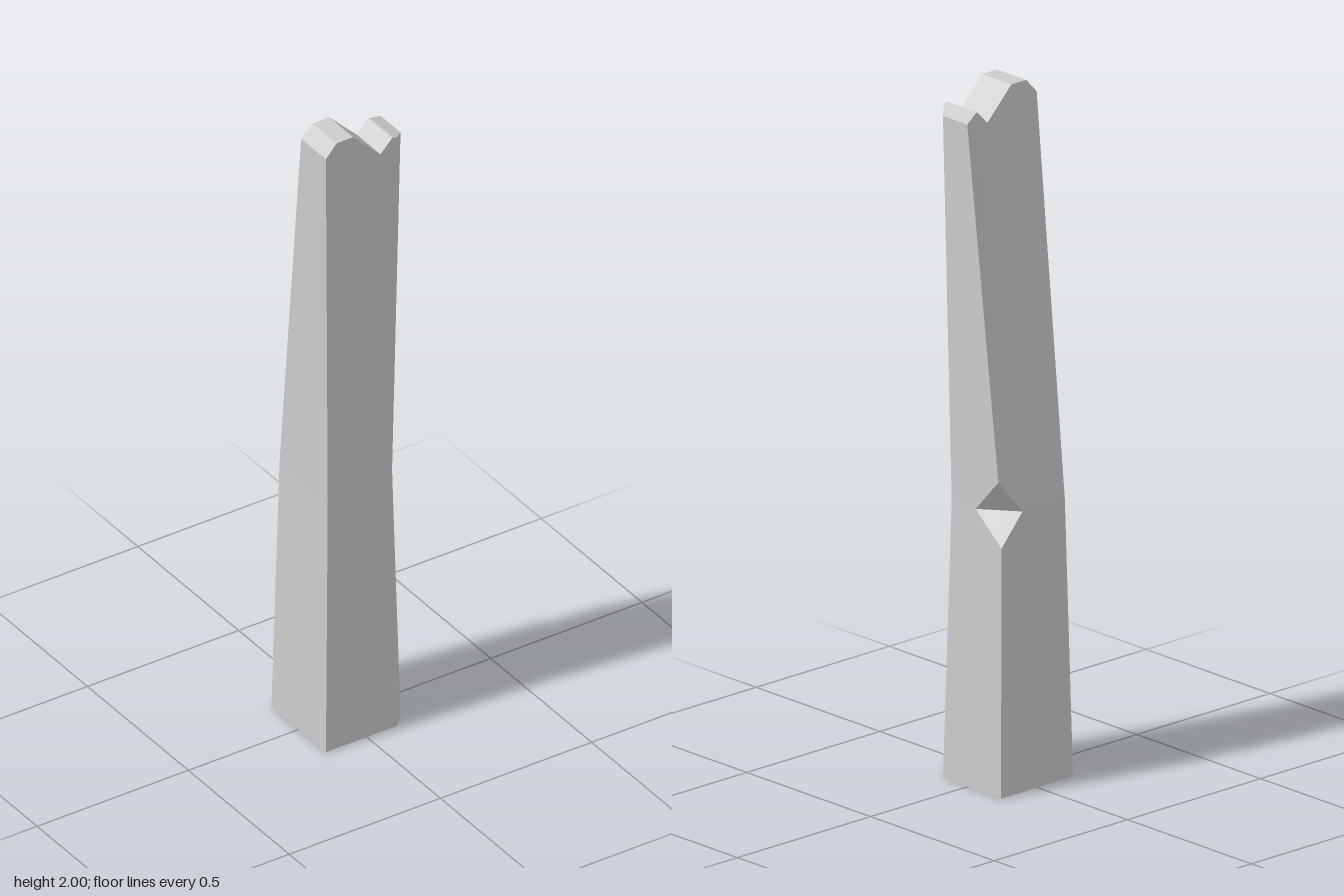
import * as THREE from 'three';

const mix = (a, b, t) => a.map((p, i) => p.map((v, k) => v + (b[i][k] - v) * t));

// A 15-point outline, counter-clockwise from above:
// front columns, chamfer, the back corner three times (so it can open into a notch), back columns.
function ring({ frontX, frontZ, half, chamferZ, cornerZ, backX, backZ, leftZ, ys }) {
  const pts = frontX.map((x, i) => [x, ys[i], frontZ]);
  pts.push([half, ys[6], chamferZ]);
  for (let i = 0; i < 3; i++) pts.push([half, ys[6], cornerZ]);
  backX.forEach((x, i) => pts.push([x, ys[4 - i], backZ]));
  pts.push([-half, ys[0], leftZ]);
  return pts;
}

export function createModel() {
  const level = y => Array(7).fill(y);
  const cols = [-0.135, -0.1, -0.045, 0.045, 0.085, 0.1];

  const base = ring({ frontX: cols, frontZ: 0.135, half: 0.135, chamferZ: 0.1, cornerZ: -0.135,
    backX: [0.085, 0.045, -0.045, -0.1], backZ: -0.135, leftZ: -0.135, ys: level(0) });
  const waist = ring({ frontX: [-0.119, -0.08, -0.036, 0.036, 0.068, 0.082], frontZ: 0.12,
    half: 0.119, chamferZ: 0.082, cornerZ: -0.119,
    backX: [0.04, 0.04, -0.045, -0.1], backZ: -0.119, leftZ: -0.119, ys: level(0.81) });
  // Splintered top, following the jagged profile
  const top = ring({ frontX: cols, frontZ: 0.135, half: 0.135, chamferZ: 0.1, cornerZ: 0.002,
    backX: [0.085, 0.045, -0.045, -0.1], backZ: 0.017, leftZ: 0.012,
    ys: [1.96, 2, 2, 1.91, 1.95, 1.945, 1.93] });

  // Chipped notch: the corner opens at the waist only
  const notched = waist.map(p => [...p]);
  notched[7] = [0.119, 0.81, -0.015];
  notched[8] = [0.08, 0.81, -0.067];
  notched[9] = [0.04, 0.81, -0.119];

  const rings = [base, mix(base, waist, 0.89), notched, mix(waist, top, 0.09), top];
  const n = base.length;
  const pos = [];
  const tri = (a, b, c) => {
    const [A, B, C] = [a, b, c].map(p => new THREE.Vector3(...p));
    if (B.sub(A).cross(C.sub(A)).length() > 1e-8) pos.push(...a, ...b, ...c);
  };

  // Sides
  for (let r = 0; r < rings.length - 1; r++) {
    const a = rings[r], b = rings[r + 1];
    for (let i = 0; i < n; i++) {
      const j = (i + 1) % n;
      tri(a[i], a[j], b[j]);
      tri(a[i], b[j], b[i]);
    }
  }
  // Flat bottom
  for (let i = 1; i < n - 1; i++) tri(base[0], base[i + 1], base[i]);
  // Jagged top: strips from front to back, then the chamfered end
  for (let i = 0; i < 4; i++) {
    const f0 = top[i], f1 = top[i + 1], b0 = top[14 - i], b1 = top[13 - i];
    tri(f0, f1, b1);
    tri(f0, b1, b0);
  }
  for (let i = 4; i < 7; i++) tri(top[10], top[i], top[i + 1]);

  const geometry = new THREE.BufferGeometry();
  geometry.setAttribute('position', new THREE.Float32BufferAttribute(pos, 3));
  geometry.computeVertexNormals();
  const post = new THREE.Mesh(geometry,
    new THREE.MeshStandardMaterial({ color: 0xcccccc, flatShading: true }));
  post.name = 'brokenPost';

  const group = new THREE.Group();
  group.name = 'brokenWoodenPost';
  group.add(post);
  return group;
}
